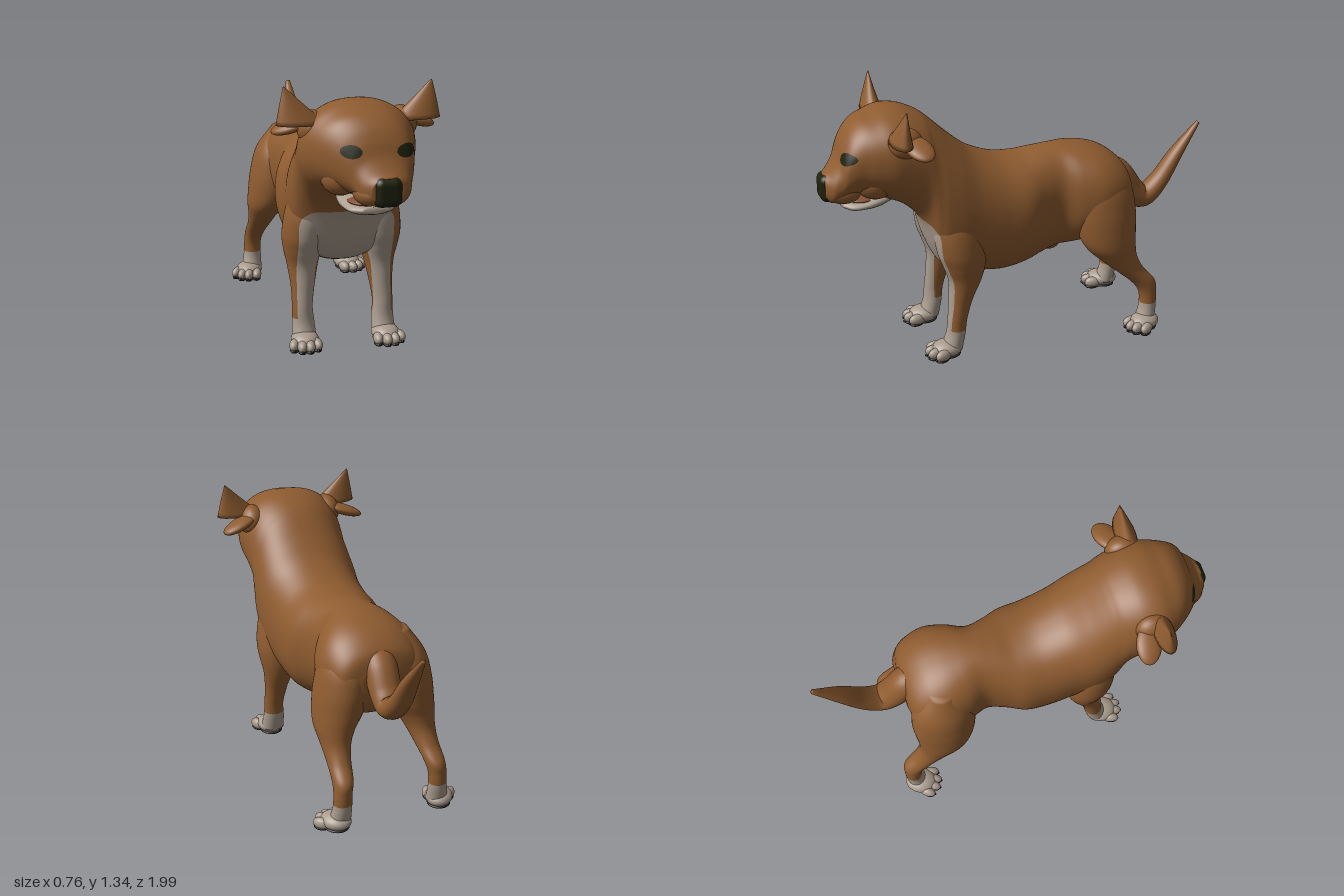
import * as THREE from 'three';
import { RoundedBoxGeometry } from 'three/addons/geometries/RoundedBoxGeometry.js';

const mat = (name, color) => {
  const m = new THREE.MeshStandardMaterial({ color });
  m.name = name;
  return m;
};

// Smooth closed skin through rings [x, y, z, radiusX, radiusV]; rings face `axis`, or follow the path when it is null
function loft(rows, axis, steps = 6, sides = 32, power = 2) {
  const V = (a) => new THREE.Vector3(...a);
  const path = new THREE.CatmullRomCurve3(rows.map(r => V(r.slice(0, 3))), false, 'catmullrom', 0.5);
  const size = new THREE.CatmullRomCurve3(rows.map(r => V([r[3], r[4], 0])), false, 'catmullrom', 0.5);
  const n = (rows.length - 1) * steps, pos = [], index = [];
  const round = (c) => Math.sign(c) * Math.abs(c) ** (2 / power);
  for (let i = 0; i <= n; i++) {
    const c = path.getPoint(i / n), s = size.getPoint(i / n);
    const t = axis ? V(axis) : path.getTangent(i / n);
    const v = t.cross(V([1, 0, 0])).normalize();
    for (let j = 0; j < sides; j++) {
      const a = j / sides * Math.PI * 2, k = round(Math.sin(a)) * s.y;
      pos.push(c.x + round(Math.cos(a)) * s.x, c.y + v.y * k, c.z + v.z * k);
      if (i < n) {
        const p = i * sides + j, q = i * sides + (j + 1) % sides;
        index.push(p, q, p + sides, q, q + sides, p + sides);
      }
    }
  }
  // end caps
  const a = pos.length / 3, last = n * sides;
  pos.push(...rows[0].slice(0, 3), ...rows[rows.length - 1].slice(0, 3));
  for (let j = 0; j < sides; j++) {
    const k = (j + 1) % sides;
    index.push(a, k, j, a + 1, last + j, last + k);
  }
  const g = new THREE.BufferGeometry();
  g.setAttribute('position', new THREE.Float32BufferAttribute(pos, 3));
  g.setIndex(index);
  g.computeVertexNormals();
  return g;
}

// Cut the skin cleanly where each field crosses zero; the positive side becomes the next material group
function paint(g, ...fields) {
  const pos = [...g.attributes.position.array], nor = [...g.attributes.normal.array];
  const sets = [[...g.index.array]];
  for (const field of fields) {
    const value = (k) => field(pos[3 * k], pos[3 * k + 1], pos[3 * k + 2]);
    const cut = (a, b, t) => {
      for (const arr of [pos, nor])
        for (let c = 0; c < 3; c++) arr.push(arr[3 * a + c] + (arr[3 * b + c] - arr[3 * a + c]) * t);
      return pos.length / 3 - 1;
    };
    const source = sets[0], split = [[], []];
    for (let i = 0; i < source.length; i += 3) {
      const tri = source.slice(i, i + 3), f = tri.map(value);
      split.forEach((out, side) => {
        const poly = [];
        for (let e = 0; e < 3; e++) {
          const d = (e + 1) % 3;
          if ((f[e] > 0) === (side === 1)) poly.push(tri[e]);
          if ((f[e] > 0) !== (f[d] > 0)) poly.push(cut(tri[e], tri[d], f[e] / (f[e] - f[d])));
        }
        for (let k = 2; k < poly.length; k++) out.push(poly[0], poly[k - 1], poly[k]);
      });
    }
    sets[0] = split[0];
    sets.push(split[1]);
  }
  g.setAttribute('position', new THREE.Float32BufferAttribute(pos, 3));
  g.setAttribute('normal', new THREE.Float32BufferAttribute(nor, 3));
  g.setIndex(sets.flat());
  let start = 0;
  sets.forEach((s, m) => { g.addGroup(start, s.length, m); start += s.length; });
  return g;
}

const CX = 0.018;

// Positive on the bib, leg fronts and socks
function whiteField(x, y, z) {
  const dx = Math.abs(x - CX);
  const bib = 0.085 - Math.hypot(Math.max(0, dx - 0.147), Math.max(0, y - 0.617));
  return Math.max(0.145 - y, Math.min(z - 0.388, bib));
}

// Positive inside the two eye ovals
function eyeField(x, y, z) {
  const oval = ([ex, ey]) => 1 - Math.hypot((x - ex) / 0.046, (y - ey) / 0.029);
  return Math.min(z - 0.7, Math.max(oval([-0.075, 1.09]), oval([0.172, 1.085])));
}

export function createModel() {
  const coat = mat('brown coat', 0x8f5c30), white = mat('white fur', 0xaa9c8e);
  const dark = mat('nose and eye black', 0x1f210b), pad = mat('paw pad', 0x2e2824);
  const mouth = mat('mouth lining', 0x875238);
  const dog = new THREE.Group();
  dog.name = 'dog';

  const add = (parent, name, geo, material) => {
    const m = new THREE.Mesh(geo, material);
    m.name = name;
    parent.add(m);
    return m;
  };
  const ball = (parent, name, material, p, r, rot = [0, 0, 0]) => {
    const m = add(parent, name, new THREE.SphereGeometry(1, 24, 16), material);
    m.position.set(...p);
    m.scale.set(...r);
    m.rotation.set(...rot);
  };

  // Trunk, neck and skull: [z, bottom, top, centre x, half width]
  const trunk = [
    [-0.57, 0.64, 0.78, 0.035, 0.1], [-0.545, 0.56, 0.86, 0.035, 0.195], [-0.47, 0.51, 0.925, 0.035, 0.24],
    [-0.38, 0.48, 0.96, 0.035, 0.254], [-0.28, 0.46, 0.975, 0.03, 0.232], [-0.19, 0.445, 0.975, 0.025, 0.196],
    [-0.1, 0.42, 0.965, 0.023, 0.216], [0, 0.39, 0.952, 0.022, 0.255], [0.12, 0.37, 0.965, 0.022, 0.262],
    [0.25, 0.385, 1.02, 0.024, 0.265], [0.35, 0.41, 1.1, 0.022, 0.273], [0.42, 0.45, 1.165, 0.02, 0.27],
    [0.465, 0.54, 1.205, 0.018, 0.262], [0.51, 0.69, 1.235, 0.016, 0.258], [0.59, 0.78, 1.265, 0.013, 0.264],
    [0.67, 0.825, 1.268, 0.013, 0.264], [0.74, 0.855, 1.25, 0.02, 0.238], [0.8, 0.87, 1.23, 0.028, 0.207],
    [0.85, 0.872, 1.19, 0.042, 0.178], [0.885, 0.866, 1.135, 0.055, 0.152], [0.912, 0.855, 1.065, 0.062, 0.13],
    [0.95, 0.85, 1.01, 0.067, 0.108], [0.98, 0.872, 0.988, 0.067, 0.072],
  ].map(([z, b, t, x, w]) => [x, (b + t) / 2, z, w, (t - b) / 2]);
  add(dog, 'body and head', paint(loft(trunk, [0, 0, 1], 8, 112, 2.25), whiteField, eyeField), [coat, white, dark]);

  // Muzzle, nose and open jaw
  for (const s of [-1, 1]) {
    ball(dog, 'upper lip', coat, [0.058 + s * 0.06, 0.905, 0.895], [0.064, 0.056, 0.085], [0, -s * 0.3, 0]);
    ball(dog, 'cheek', coat, [0.022 + s * 0.115, 0.945, 0.745], [0.085, 0.085, 0.1], [0, -s * 0.35, 0]);
  }
  add(dog, 'nose', new RoundedBoxGeometry(0.126, 0.135, 0.08, 5, 0.036), dark).position.set(0.067, 0.924, 0.96);
  add(dog, 'lower jaw', loft([
    [0.015, 0.85, 0.64, 0.1, 0.03], [0.02, 0.832, 0.72, 0.12, 0.04], [0.026, 0.82, 0.79, 0.118, 0.032],
    [0.03, 0.815, 0.85, 0.1, 0.026], [0.034, 0.818, 0.89, 0.055, 0.016]], [0, 0, 1]), white);
  ball(dog, 'tongue', mouth, [0.03, 0.843, 0.8], [0.1, 0.015, 0.085]);

  // Tail sweeping down, then up
  add(dog, 'tail', loft([
    [0.035, 0.8, -0.43, 0.06, 0.05], [0.04, 0.79, -0.525, 0.08, 0.075], [0.045, 0.675, -0.62, 0.077, 0.07],
    [0.05, 0.638, -0.69, 0.068, 0.057], [0.05, 0.71, -0.775, 0.058, 0.046], [0.05, 0.84, -0.862, 0.045, 0.033],
    [0.05, 1.0, -0.985, 0.012, 0.01]], null), coat);
  ball(dog, 'belly sheath', coat, [0.025, 0.45, -0.16], [0.03, 0.042, 0.075], [-0.3, 0, 0]);

  // Paw with four toes, claws and dark pads
  function paw(name, x, z, turn) {
    const g = new THREE.Group();
    g.name = name;
    g.position.set(x, 0, z);
    g.rotation.y = turn;
    ball(g, 'foot', white, [0, 0.046, -0.01], [0.068, 0.042, 0.08]);
    ball(g, 'heel pad', pad, [0, 0.013, -0.015], [0.058, 0.013, 0.063]);
    [-1.5, -0.5, 0.5, 1.5].forEach(k => {
      const tx = k * 0.036, tz = 0.07 - 0.011 * k * k, rot = [0, k * 0.16, 0];
      ball(g, 'toe', white, [tx, 0.036, tz - 0.012], [0.025, 0.029, 0.044], rot);
      ball(g, 'toe pad', pad, [tx, 0.012, tz - 0.008], [0.022, 0.012, 0.036], rot);
      ball(g, 'claw', pad, [tx + k * 0.002, 0.018, tz + 0.024], [0.006, 0.008, 0.011], rot);
    });
    dog.add(g);
  }

  // Legs and ears, mirrored; each row is [offset, y, z, radiusX, radiusZ]
  const foreleg = [
    [0.15, 0.82, 0.36, 0.08, 0.07], [0.168, 0.68, 0.36, 0.107, 0.115], [0.184, 0.56, 0.347, 0.106, 0.12],
    [0.19, 0.48, 0.335, 0.092, 0.105], [0.19, 0.4, 0.333, 0.075, 0.082], [0.194, 0.3, 0.357, 0.058, 0.06],
    [0.2, 0.2, 0.377, 0.05, 0.049], [0.198, 0.12, 0.387, 0.054, 0.048], [0.198, 0.04, 0.41, 0.06, 0.055]];
  const hindleg = [
    [0.12, 0.9, -0.4, 0.06, 0.06], [0.145, 0.78, -0.41, 0.115, 0.14], [0.165, 0.66, -0.415, 0.127, 0.16],
    [0.185, 0.55, -0.42, 0.12, 0.152], [0.21, 0.47, -0.435, 0.097, 0.13], [0.223, 0.4, -0.475, 0.073, 0.097],
    [0.232, 0.33, -0.535, 0.058, 0.073], [0.242, 0.26, -0.605, 0.05, 0.062], [0.25, 0.2, -0.628, 0.045, 0.046],
    [0.253, 0.12, -0.628, 0.047, 0.044], [0.26, 0.04, -0.61, 0.055, 0.052]];
  for (const s of [-1, 1]) {
    const side = s > 0 ? 'left' : 'right';
    const place = (rows) => rows.map(([o, ...rest]) => [CX + s * o, ...rest]);
    const leg = (name, rows) =>
      add(dog, side + name, paint(loft(place(rows), [0, -1, 0], 10, 48), whiteField), [coat, white]);
    leg(' front leg', foreleg);
    leg(' hind leg', hindleg);
    paw(side + ' front paw', CX + s * 0.202, 0.443, s * 0.12);
    paw(side + ' hind paw', CX + s * 0.28, -0.595, s * 0.45);

    // Ear: upright point, folded flap and rounded root
    add(dog, side + ' ear point', loft(place([
      [0.265, 1.17, 0.655, 0.115, 0.052], [0.305, 1.255, 0.65, 0.058, 0.026], [0.34, 1.34, 0.642, 0.003, 0.002]],
    ), [0, 1, 0], 4, 24), coat);
    ball(dog, side + ' ear flap', coat, [CX + s * 0.29, 1.145, 0.575], [0.1, 0.028, 0.062], [0.15, s * 0.25, -s * 0.35]);
    ball(dog, side + ' ear root', coat, [CX + s * 0.215, 1.15, 0.62], [0.06, 0.075, 0.085], [0, 0, s * 0.35]);
  }
  return dog;
}
